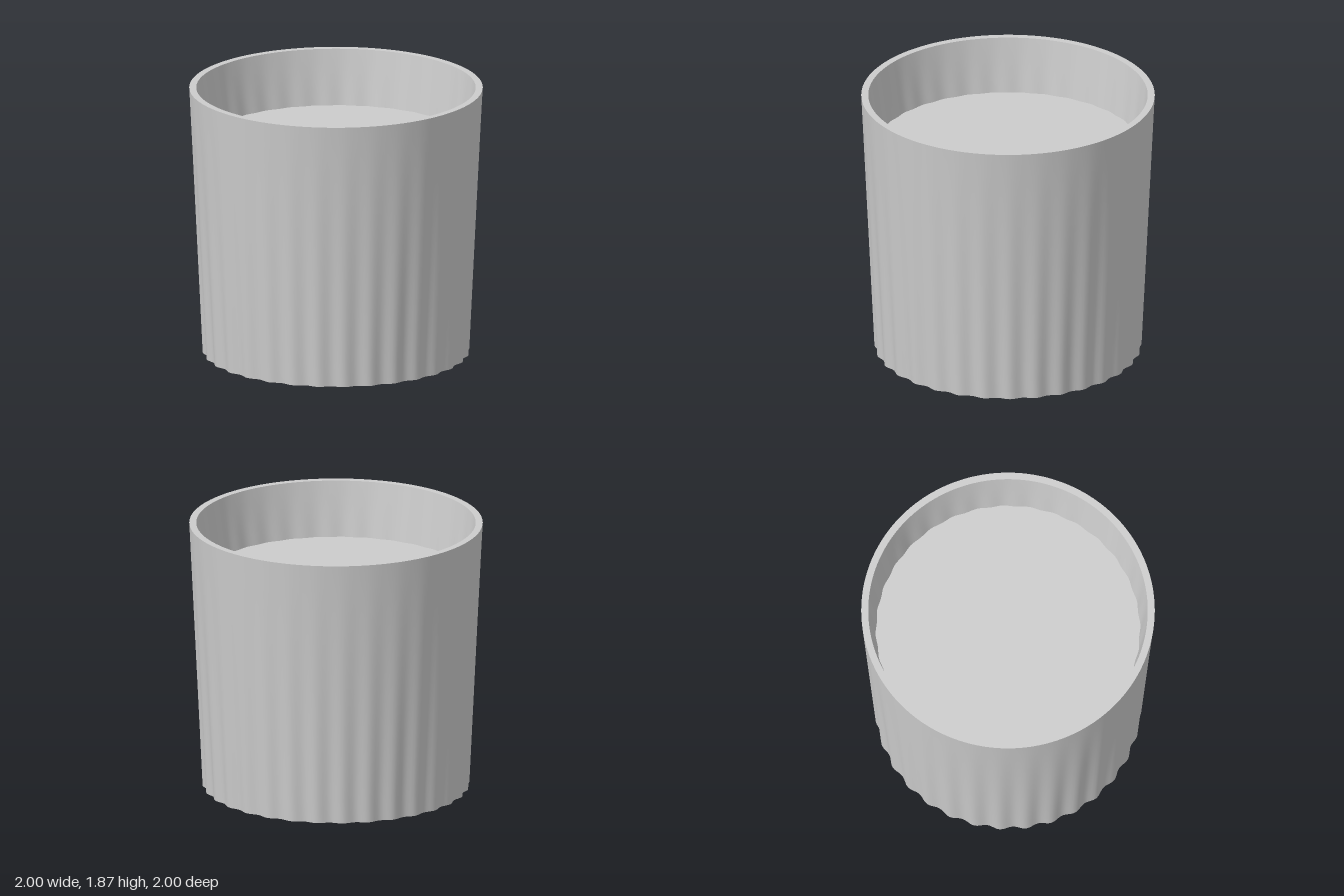
import * as THREE from 'three';
import { mergeVertices } from 'three/addons/utils/BufferGeometryUtils.js';

const FLUTES = 32;
const SEGMENTS = FLUTES * 8;
const HEIGHT = 1.865;
const FLOOR = 1.48;

// Lathe through rows of [radius, height, flute depth]; the depth ripples the radius.
function flutedLathe(name, rows, material) {
  const points = rows.map(([r, y]) => new THREE.Vector2(r, y));
  let geometry = new THREE.LatheGeometry(points, SEGMENTS);
  const pos = geometry.attributes.position;
  for (let i = 0; i < pos.count; i++) {
    const [r, y, depth] = rows[i % rows.length];
    const step = Math.floor(i / rows.length) % SEGMENTS;
    const angle = (step / SEGMENTS) * Math.PI * 2;
    const radius = r + depth * Math.cos(FLUTES * angle);
    pos.setXYZ(i, radius * Math.sin(angle), y, radius * Math.cos(angle));
  }
  // weld the seam so that the shading stays smooth all round
  geometry.deleteAttribute('uv');
  geometry.deleteAttribute('normal');
  geometry = mergeVertices(geometry, 1e-5);
  geometry.computeVertexNormals();
  const mesh = new THREE.Mesh(geometry, material);
  mesh.name = name;
  return mesh;
}

export function createModel() {
  const group = new THREE.Group();
  group.name = 'flutedCup';
  const material = new THREE.MeshStandardMaterial({ color: 0xcccccc });

  // outer wall: flutes are deepest at the foot and fade out at the rim
  const outer = [];
  const rows = 12;
  for (let i = 0; i <= rows; i++) {
    const t = i / rows;
    outer.push([0.899 + 0.101 * t, HEIGHT * t, 0.011 * (1 - t)]);
  }

  // inner wall: a smooth rim running down to a faintly rippled edge at the floor
  const inner = [];
  for (let i = 0; i <= 4; i++) {
    const t = i / 4;
    inner.push([0.952 - 0.053 * t, HEIGHT + (FLOOR - HEIGHT) * t, -0.004 * t]);
  }

  // underside: slightly hollow, its ripples dying out towards the middle
  const base = [
    [0, 0.035, 0], [0.55, 0.034, 0.002], [0.68, 0.027, 0.005],
    [0.8, 0.014, 0.008], outer[0],
  ];

  group.add(
    flutedLathe('base', base, material),
    flutedLathe('outerWall', outer, material),
    flutedLathe('rim', [outer[rows], inner[0]], material),
    flutedLathe('innerWall', inner, material),
    flutedLathe('innerFloor', [inner[4], [0, FLOOR, 0]], material),
  );
  return group;
}
